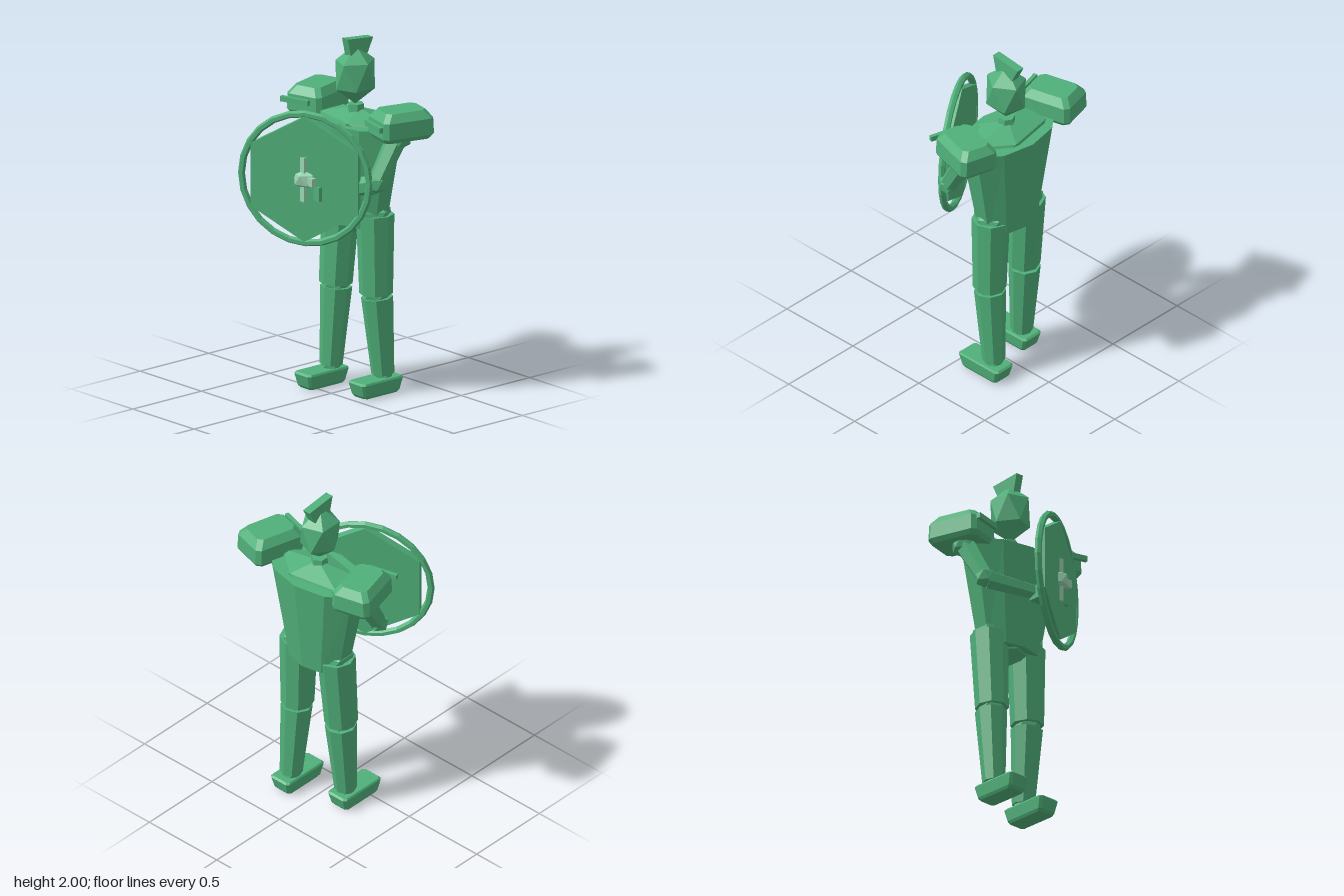
import * as THREE from 'three';
import { ConvexGeometry } from 'three/addons/geometries/ConvexGeometry.js';

const V = (x, y, z) => new THREE.Vector3(x, y, z);

// Faceted copy of a geometry
function facet(geo) {
  const g = geo.index ? geo.toNonIndexed() : geo;
  g.computeVertexNormals();
  return g;
}

// Pole-up icosahedron with its own radius on each axis
function ico(rx, ry, rz) {
  const pts = [V(0, ry, 0), V(0, -ry, 0)];
  for (let i = 0; i < 5; i++) {
    const a = (i * Math.PI * 2) / 5;
    const x = 0.894 * rx * Math.cos(a), z = 0.894 * rz * Math.sin(a);
    pts.push(V(x, 0.447 * ry, z), V(-x, -0.447 * ry, z));
  }
  return new ConvexGeometry(pts);
}

// Solid from stacked rectangles with cut corners: [y, halfWidth, halfDepth]
function block(levels, cut) {
  const pts = [];
  for (const [y, w, d] of levels)
    for (const sx of [-1, 1])
      for (const sz of [-1, 1])
        pts.push(V(sx * (w - cut), y, sz * d), V(sx * w, y, sz * (d - cut)));
  return new ConvexGeometry(pts);
}

export function createModel() {
  const root = new THREE.Group();
  root.name = 'shieldBearer';
  const green = new THREE.MeshStandardMaterial({ color: 0x50b07a });
  green.name = 'green';
  const pale = new THREE.MeshStandardMaterial({ color: 0x9ad4b2 });
  pale.name = 'pale green';

  function add(name, geo, pos = [0, 0, 0], mat = green, parent = root) {
    const m = new THREE.Mesh(geo, mat);
    m.name = name;
    m.position.set(...pos);
    parent.add(m);
    return m;
  }

  // Tapered limb from a to b
  function limb(name, a, b, ra, rb, sides = 8) {
    const p = V(...a), q = V(...b);
    const m = add(name, facet(new THREE.CylinderGeometry(rb, ra, p.distanceTo(q), sides)));
    m.position.copy(p).lerp(q, 0.5);
    m.quaternion.setFromUnitVectors(V(0, 1, 0), q.sub(p).normalize());
    return m;
  }

  // Torso
  const trunk = new THREE.CylinderGeometry(0.19, 0.13, 0.58, 10);
  const p = trunk.attributes.position;
  for (let i = 0; i < p.count; i++) p.setX(i, p.getX(i) * (p.getY(i) > 0 ? 1.68 : 1.54));
  add('torso', facet(trunk), [0, 1.24, -0.19]);
  add('upperChest', ico(0.29, 0.1, 0.165), [0, 1.5, -0.19]);
  add('pelvis', ico(0.13, 0.11, 0.12), [0, 0.99, -0.19]);
  add('neck', facet(new THREE.CylinderGeometry(0.045, 0.055, 0.12, 6)), [0, 1.56, -0.18]);

  // Head and crest
  add('head', ico(0.117, 0.168, 0.13), [0, 1.785, -0.175]);
  const outline = [[-0.1, 2], [-0.285, 1.98], [-0.24, 1.89], [-0.125, 1.89]];
  add('crest', new ConvexGeometry(
    outline.flatMap(([z, y]) => [V(-0.024, y, z), V(0.024, y, z)])));

  for (const s of [1, -1]) {
    const side = s > 0 ? 'left' : 'right';
    const step = s > 0 ? 0 : 1; // the right leg is the forward one

    // Leg
    const hip = [s * 0.14, 1.02, -0.195];
    const kneeZ = step ? -0.165 : -0.195;
    const ankleZ = step ? -0.14 : -0.235;
    add(side + 'Hip', ico(0.1, 0.1, 0.11), [s * 0.14, 1.0, -0.19]);
    limb(side + 'Thigh', [s * 0.148, 0.57, kneeZ], hip, 0.092, 0.105);
    add(side + 'Knee', ico(0.08, 0.07, 0.085), [s * 0.15, 0.56, kneeZ]);
    limb(side + 'Shin', [s * 0.158, 0.11, ankleZ], [s * 0.15, 0.55, kneeZ - 0.005], 0.063, 0.088);
    add(side + 'Ankle', ico(0.06, 0.05, 0.06), [s * 0.158, 0.1, ankleZ]);
    add(side + 'Foot', block([[0.005, 0.052, 0.12], [0.02, 0.06, 0.132],
      [0.085, 0.068, 0.15], [0.095, 0.062, 0.14]], 0.014), [s * 0.163, 0, step ? -0.075 : -0.18]);

    // Arm bent towards the shield grip
    const elbow = [s * 0.315, 1.26, -0.045];
    add(side + 'Shoulder', ico(0.08, 0.08, 0.08), [s * 0.33, 1.5, -0.19]);
    limb(side + 'UpperArm', elbow, [s * 0.33, 1.52, -0.2], 0.05, 0.062, 6);
    add(side + 'Elbow', ico(0.06, 0.06, 0.06), elbow);
    limb(side + 'Forearm', [s * 0.07, 1.2, 0.1], [s * 0.3, 1.25, -0.035], 0.042, 0.055, 6);
    add(side + 'Hand', new THREE.BoxGeometry(0.08, 0.08, 0.1), [s * 0.06, 1.19, 0.13]);

    // Shoulder armour with its front bar
    const armour = new THREE.Group();
    armour.name = side + 'ShoulderArmour';
    armour.position.set(s * 0.34, 1.58, -0.205);
    armour.rotation.y = -s * 0.26;
    root.add(armour);
    add(side + 'ShoulderPad', block([[-0.08, 0.1, 0.14], [-0.055, 0.116, 0.155],
      [0.035, 0.112, 0.152], [0.08, 0.08, 0.118]], 0.025), [0, 0, 0], green, armour);
    add(side + 'ShoulderBar', new THREE.BoxGeometry(0.18, 0.03, 0.022),
      [s * 0.03, 0.01, 0.18], green, armour);
  }

  // Shield: hexagonal plate inside a round rim, turned to the left
  const shield = new THREE.Group();
  shield.name = 'shield';
  shield.position.set(0, 1.265, 0.188);
  shield.rotation.y = Math.PI / 6;
  root.add(shield);
  const plate = new THREE.CylinderGeometry(0.355, 0.355, 0.045, 6).rotateX(Math.PI / 2);
  add('shieldPlate', facet(plate), [0, 0, 0], green, shield);
  add('shieldRim', facet(new THREE.TorusGeometry(0.366, 0.02, 6, 24)), [0, 0, 0], green, shield);

  // Boss, cross bars and grip
  add('shieldBoss', ico(0.07, 0.06, 0.07), [0, 1.265, 0.19], pale);
  add('uprightBar', new THREE.BoxGeometry(0.045, 0.25, 0.03), [0, 1.265, 0.205], pale);
  add('crossBar', new THREE.BoxGeometry(0.175, 0.045, 0.03), [0, 1.262, 0.203], pale);
  add('shieldGrip', facet(new THREE.CylinderGeometry(0.02, 0.02, 0.22, 8)), [0, 1.24, 0.13]);

  return root;
}
